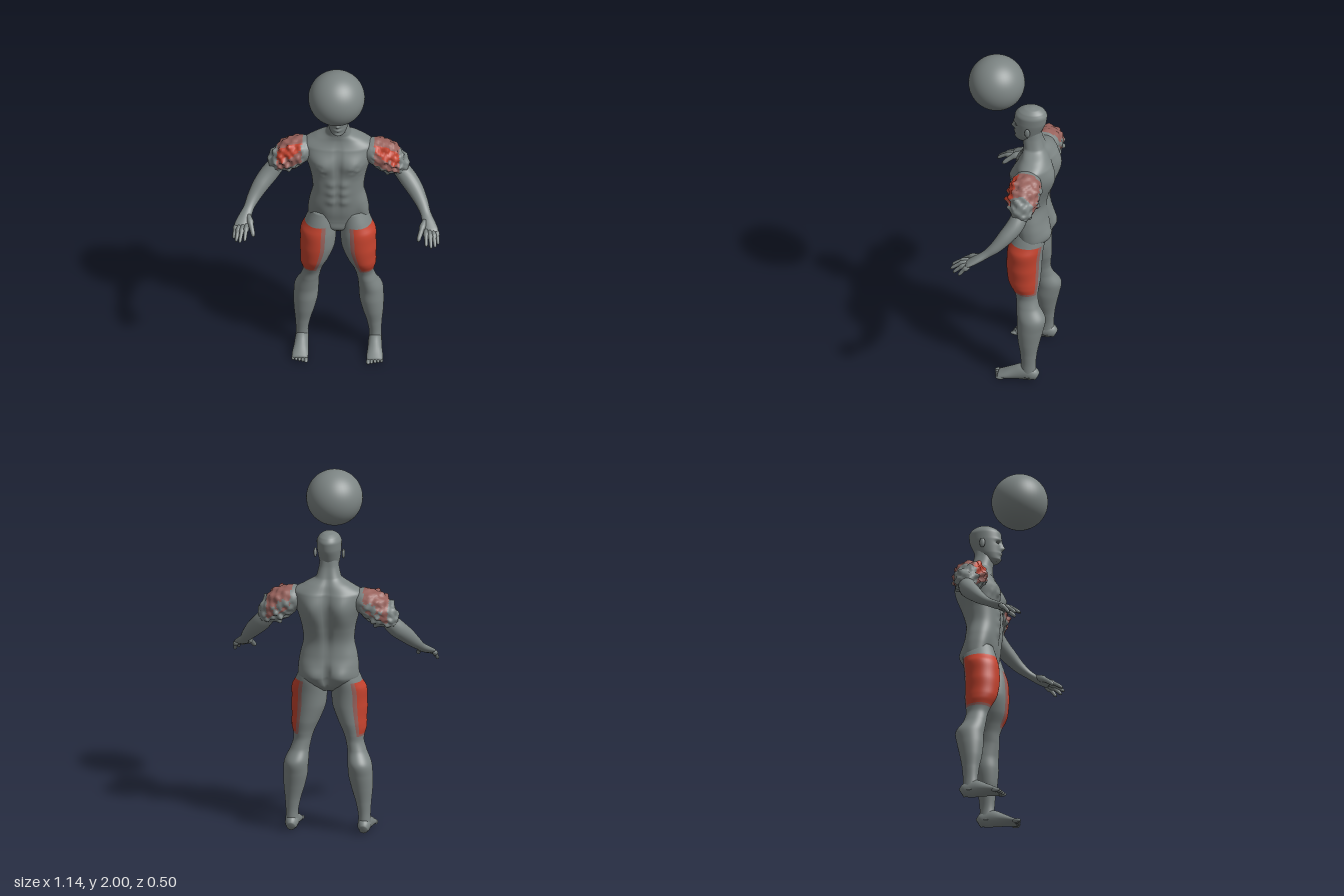
import * as THREE from 'three';

const mat = (name, color) => Object.assign(new THREE.MeshStandardMaterial({ color }), { name });
const V = (x, y, z) => new THREE.Vector3(x, y, z);

// Smooth closed loft through rows [x, y, z, radiusU, radiusW].
// ref: direction of U; level: keep rings horizontal; shape: moves a point; paint: picks a material index.
function loft(rows, { ref = V(1, 0, 0), level = false, seg = 24, sub = 4, pow = 1, shape, paint } = {}) {
  const path = new THREE.CatmullRomCurve3(rows.map(r => V(r[0], r[1], r[2])));
  const size = new THREE.CatmullRomCurve3(rows.map(r => V(r[3], r[4], 0)));
  const n = (rows.length - 1) * sub, pos = [], lists = [[], [], []];
  const bend = v => Math.sign(v) * Math.abs(v) ** pow;
  for (let i = -1; i <= n + 1; i++) {
    const t = Math.min(1, Math.max(0, i / n)), cap = i < 0 || i > n;
    const c = path.getPoint(t), s = size.getPoint(t);
    const dir = level ? V(0, 1, 0) : path.getTangent(t);
    const u = ref.clone().addScaledVector(dir, -ref.dot(dir)).normalize();
    const w = u.clone().cross(dir);
    for (let j = 0; j < seg; j++) {
      const a = j / seg * Math.PI * 2, k = cap ? 0.001 : 1;
      const p = c.clone().addScaledVector(u, s.x * bend(Math.cos(a)) * k).addScaledVector(w, s.y * bend(Math.sin(a)) * k);
      if (shape && !cap) shape(p, a, c);
      pos.push(p.x, p.y, p.z);
    }
  }
  for (let i = 0; i < n + 2; i++) for (let j = 0; j < seg; j++) {
    const a = i * seg + j, b = i * seg + (j + 1) % seg, c = a + seg, d = b + seg;
    const mid = V(...[0, 1, 2].map(k => (pos[a * 3 + k] + pos[d * 3 + k]) / 2));
    lists[paint ? paint(mid, ((j + 0.5) / seg * 360 + 180) % 360 - 180) : 0].push(a, c, b, b, c, d);
  }
  const geo = new THREE.BufferGeometry();
  geo.setAttribute('position', new THREE.Float32BufferAttribute(pos, 3));
  geo.setIndex(lists.flat());
  let start = 0;
  lists.forEach((l, m) => { if (l.length) geo.addGroup(start, l.length, m); start += l.length; });
  geo.computeVertexNormals();
  return geo;
}

function mirrored(geo) {
  const g = geo.clone().scale(-1, 1, 1), ix = g.index.array;
  for (let i = 0; i < ix.length; i += 3) [ix[i], ix[i + 1]] = [ix[i + 1], ix[i]];
  g.computeVertexNormals();
  return g;
}

const ball = (x, y, z, a, b, c) => new THREE.SphereGeometry(1, 14, 10).scale(a, b, c).translate(x, y, z);
const lumps = p => Math.sin(p.x * 95 + p.y * 40) * Math.sin(p.y * 110 + 1) * Math.cos(p.z * 75 + p.x * 30);

// Muscle bumps [x, y, front or back, width, height, depth], mirrored in x
const bumps = list => (p, angle) => {
  const side = Math.sin(angle);
  let dz = 0;
  for (const [x, y, f, w, h, d] of list) {
    if (side * f <= 0) continue;
    const e = (Math.abs(p.x) - x) / w, g = (p.y - y) / h;
    dz += f * d * Math.exp(-e * e - g * g) * Math.min(1, Math.abs(side) * 2);
  }
  p.z += dz;
};

export function createModel() {
  const model = new THREE.Group();
  const grey = mat('grey skin', 0x7d8584), red = mat('muscle red', 0xc5432e), pink = mat('faded red', 0x98625c);
  const add = (name, geo, m = grey) => {
    const mesh = new THREE.Mesh(geo, m);
    mesh.name = name;
    model.add(mesh);
  };
  const pair = (name, geo, m) => { add('left' + name, geo, m); add('right' + name, mirrored(geo), m); };

  add('ball', new THREE.SphereGeometry(0.155, 48, 32).translate(0, 1.845, 0.1));

  // Torso and neck
  const muscles = bumps([
    [0.085, 1.29, 1, 0.06, 0.05, 0.022], [0, 1.3, 1, 0.014, 0.09, -0.014],
    ...[1.05, 1.11, 1.17].map(y => [0.035, y, 1, 0.026, 0.024, 0.01]),
    [0, 1.1, 1, 0.01, 0.12, -0.008], [0.11, 0.93, 1, 0.03, 0.06, -0.012],
    [0.085, 1.3, -1, 0.055, 0.1, 0.025], [0, 1.25, -1, 0.022, 0.2, -0.018],
    [0.075, 0.91, -1, 0.05, 0.05, 0.02], [0, 0.89, -1, 0.014, 0.07, -0.03],
  ]);
  add('torso', loft([
    [0, 0.81, -0.11, 0.04, 0.04], [0, 0.85, -0.112, 0.11, 0.08], [0, 0.9, -0.118, 0.168, 0.09],
    [0, 0.96, -0.112, 0.166, 0.094], [0, 1.02, -0.105, 0.157, 0.092], [0, 1.1, -0.1, 0.14, 0.092],
    [0, 1.18, -0.108, 0.148, 0.1], [0, 1.25, -0.115, 0.166, 0.108], [0, 1.32, -0.12, 0.19, 0.108],
    [0, 1.38, -0.125, 0.195, 0.092], [0, 1.425, -0.125, 0.13, 0.072], [0, 1.46, -0.115, 0.07, 0.06],
    [0, 1.52, -0.102, 0.054, 0.054], [0, 1.57, -0.1, 0.048, 0.05],
  ], {
    level: true, seg: 72, sub: 8, pow: 0.85,
    shape: (p, a) => {
      muscles(p, a);
      // rough patches low on the chest
      const d = Math.hypot(Math.abs(p.x) - 0.1, p.y - 1.26);
      if (Math.sin(a) > 0 && d < 0.06) p.z += 0.01 * lumps(p) * (1 - d / 0.06);
    },
  }));

  // Head with face
  add('head', loft([
    [0, 1.493, -0.05, 0.026, 0.028], [0, 1.508, -0.06, 0.042, 0.05], [0, 1.54, -0.074, 0.055, 0.069],
    [0, 1.58, -0.083, 0.062, 0.08], [0, 1.62, -0.09, 0.067, 0.089], [0, 1.66, -0.094, 0.068, 0.09],
    [0, 1.69, -0.098, 0.056, 0.073], [0, 1.708, -0.1, 0.034, 0.044], [0, 1.716, -0.1, 0.008, 0.01],
  ], {
    level: true, seg: 64, sub: 8,
    shape: bumps([
      [0, 1.572, 1, 0.012, 0.012, 0.02], [0, 1.592, 1, 0.009, 0.016, 0.01], [0.027, 1.602, 1, 0.014, 0.009, -0.013],
      [0.026, 1.62, 1, 0.022, 0.007, 0.005], [0, 1.545, 1, 0.02, 0.004, 0.008], [0, 1.537, 1, 0.018, 0.004, 0.007],
      [0, 1.508, 1, 0.02, 0.01, 0.008],
    ]),
  }));
  pair('Eye', ball(0.026, 1.602, -0.019, 0.011, 0.007, 0.01));
  pair('Ear', ball(0.07, 1.588, -0.092, 0.009, 0.028, 0.016).rotateZ(-0.005));

  // Legs: red outer thigh
  const inThigh = y => y > 0.555 && y < 0.872;
  pair('Leg', loft([
    [0.2, 0.03, -0.13, 0.036, 0.045], [0.2, 0.1, -0.13, 0.034, 0.041], [0.195, 0.18, -0.13, 0.043, 0.047],
    [0.188, 0.25, -0.13, 0.057, 0.06], [0.18, 0.33, -0.135, 0.067, 0.073], [0.175, 0.4, -0.14, 0.067, 0.079],
    [0.158, 0.47, -0.117, 0.053, 0.064], [0.145, 0.52, -0.108, 0.05, 0.06], [0.138, 0.57, -0.1, 0.059, 0.07],
    [0.125, 0.63, -0.09, 0.074, 0.088], [0.108, 0.72, -0.086, 0.09, 0.095], [0.104, 0.8, -0.089, 0.093, 0.096],
    [0.098, 0.87, -0.1, 0.085, 0.094], [0.085, 0.95, -0.11, 0.065, 0.08],
  ], {
    level: true, seg: 48, sub: 8,
    shape: (p, a, c) => {
      const k = Math.cos(a - 0.35);
      if (!inThigh(p.y) || k < 0) return;
      // padded outer thigh
      const pad = 1 + 0.13 * k * Math.min(1, (p.y - 0.555) * 25, (0.872 - p.y) * 25) * (1 + 0.12 * Math.sin(p.y * 55));
      p.x = c.x + (p.x - c.x) * pad;
      p.z = c.z + (p.z - c.z) * (1 + (pad - 1) * 0.6);
    },
    paint: (p, deg) => {
      if (!inThigh(p.y) || deg < -68 || deg > 112) return 0;
      return deg < -52 || deg > 94 || p.y < 0.57 ? 2 : 1;
    },
  }), [grey, red, pink]);

  // Feet and toes
  pair('Foot', loft([
    [0.2, 0.028, -0.18, 0.022, 0.025], [0.2, 0.042, -0.155, 0.035, 0.042], [0.2, 0.05, -0.11, 0.037, 0.05],
    [0.202, 0.037, -0.05, 0.04, 0.037], [0.204, 0.023, 0, 0.045, 0.023], [0.205, 0.014, 0.035, 0.043, 0.014],
  ]));
  for (let i = 0; i < 5; i++)
    pair('Toe' + (i + 1), ball(0.17 + i * 0.018, 0.011, 0.042 - i * 0.005, i ? 0.009 : 0.012, 0.011, 0.024));

  // Upper arms: swollen, with red patches
  pair('UpperArm', loft([
    [0.14, 1.335, -0.12, 0.06, 0.06], [0.2, 1.33, -0.12, 0.086, 0.075], [0.25, 1.305, -0.12, 0.09, 0.085],
    [0.295, 1.27, -0.12, 0.083, 0.08], [0.33, 1.24, -0.12, 0.066, 0.066], [0.355, 1.208, -0.112, 0.042, 0.042],
  ], {
    ref: V(0, 0, 1), seg: 48, sub: 9,
    shape: (p, a, c) => {
      const amount = THREE.MathUtils.clamp((p.x - 0.17) * 3, 0, 0.25) * (p.y < c.y || p.z > -0.1 ? 1 : 0.5);
      p.sub(c).multiplyScalar(1 + amount * lumps(p.clone().add(c))).add(c);
    },
    paint: p => {
      if (p.x < 0.2 || p.x > 0.335 || p.y < 1.42 - 0.6 * p.x || p.z < -0.205) return 0;
      return p.z > -0.075 && p.y > 1.51 - 0.7 * p.x ? 1 : 2;
    },
  }), [grey, red, pink]);

  // Forearms and palms
  pair('Forearm', loft([
    [0.33, 1.228, -0.122, 0.045, 0.045], [0.375, 1.175, -0.1, 0.05, 0.048], [0.42, 1.125, -0.06, 0.046, 0.043],
    [0.46, 1.07, -0.01, 0.036, 0.032], [0.485, 1.03, 0.04, 0.029, 0.022], [0.503, 1.002, 0.085, 0.036, 0.02],
    [0.518, 0.98, 0.125, 0.04, 0.015], [0.524, 0.971, 0.14, 0.034, 0.01],
  ], { sub: 6 }));

  // Fingers and thumb: [base, tip]
  const digits = [
    [[0.49, 0.985, 0.13], [0.497, 0.942, 0.222]], [[0.51, 0.982, 0.135], [0.524, 0.932, 0.225]],
    [[0.53, 0.978, 0.13], [0.545, 0.925, 0.205]], [[0.546, 0.978, 0.117], [0.56, 0.922, 0.172]],
    [[0.483, 1.012, 0.08], [0.45, 0.945, 0.182]],
  ];
  digits.forEach(([a, b], i) => {
    const r = i === 4 ? 0.014 : 0.011;
    const at = (t, lift, k) => [a[0] + (b[0] - a[0]) * t, a[1] + (b[1] - a[1]) * t + lift, a[2] + (b[2] - a[2]) * t, r * k, r * k];
    pair(i === 4 ? 'Thumb' : 'Finger' + (i + 1),
      loft([at(0, 0, 1), at(0.5, 0.006, 1), at(0.9, 0, 0.85), at(1, -0.003, 0.4)], { seg: 10 }));
  });

  return model;
}
